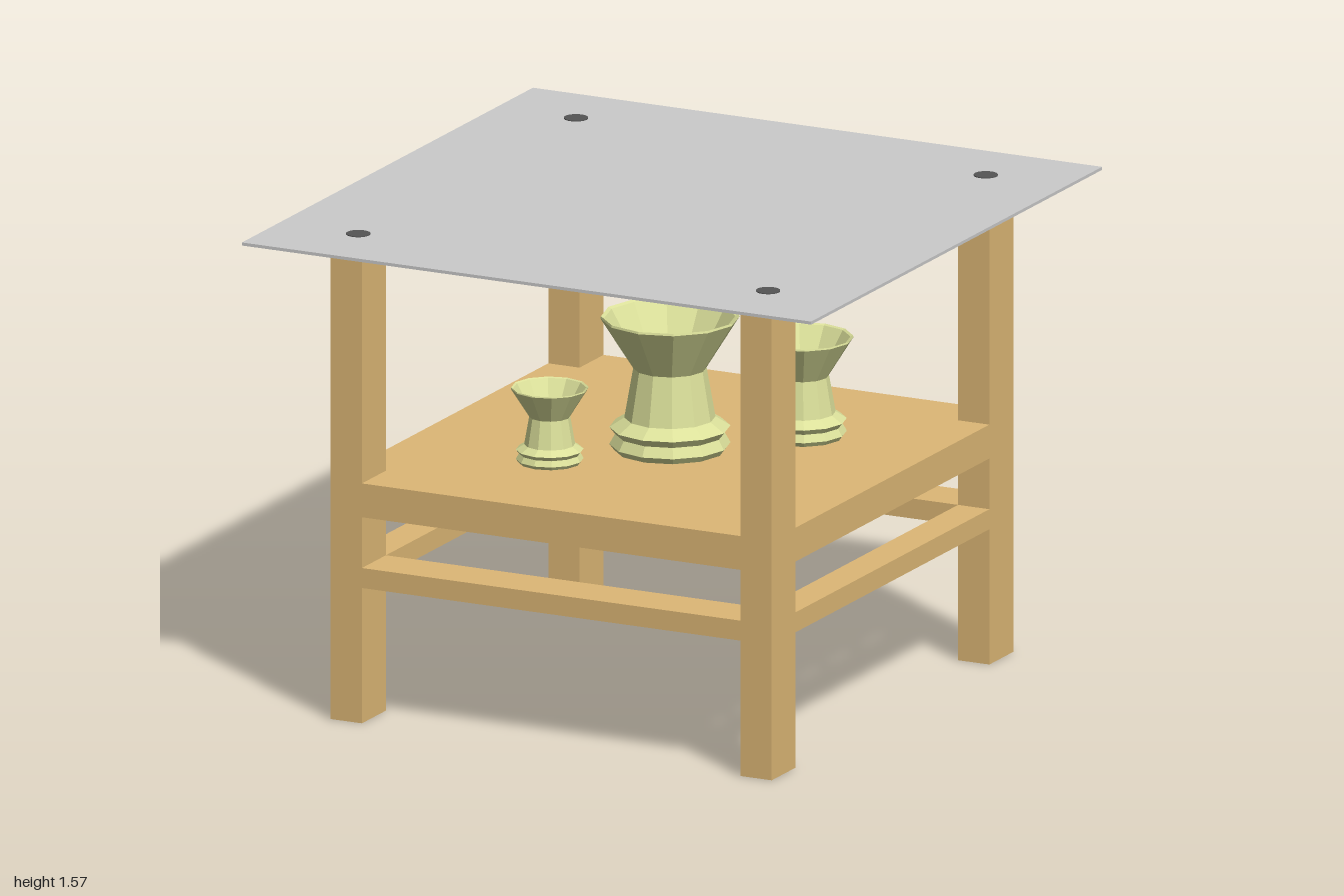
import * as THREE from 'three';

const wood = new THREE.MeshStandardMaterial({ color: 0xdeb876 });
const slab = new THREE.MeshStandardMaterial({ color: 0xcccccc });
const dark = new THREE.MeshStandardMaterial({ color: 0x555555 });
const clay = new THREE.MeshStandardMaterial({
  color: 0xdbe09a, flatShading: true, side: THREE.DoubleSide,
});

// Box given by its centre, its size and its vertical extent
function box(name, material, x, z, w, d, y0, y1) {
  const mesh = new THREE.Mesh(new THREE.BoxGeometry(w, y1 - y0, d), material);
  mesh.name = name;
  mesh.position.set(x, (y0 + y1) / 2, z);
  return mesh;
}

// Flared vase: [radius, height] from the foot to the rim, then down into the bowl
const vaseProfile = [
  [0, 0], [0.175, 0], [0.19, 0.02], [0.172, 0.052], [0.19, 0.075], [0.143, 0.105],
  [0.115, 0.265], [0.218, 0.428], [0.216, 0.435], [0.205, 0.43], [0.105, 0.265], [0, 0.25],
].map(([r, y]) => new THREE.Vector2(r, y));

function vase(name, x, z, scale) {
  const mesh = new THREE.Mesh(new THREE.LatheGeometry(vaseProfile, 12), clay);
  mesh.name = name;
  mesh.position.set(x, 0.78, z);
  mesh.scale.setScalar(scale);
  return mesh;
}

export function createModel() {
  const model = new THREE.Group();
  model.name = 'table';

  const legX = 0.72, legZ = 0.748, legW = 0.11, legD = 0.165;
  const spanX = 2 * legX - legW, spanZ = 2 * legZ - legD;

  // Legs, with a dark round stud over each on the top
  for (const sx of [-1, 1]) {
    for (const sz of [-1, 1]) {
      model.add(box('leg', wood, sx * legX, sz * legZ, legW, legD, 0, 1.553));
      const stud = new THREE.Mesh(new THREE.CylinderGeometry(0.038, 0.038, 0.012, 32), dark);
      stud.name = 'stud';
      stud.position.set(sx * legX, 1.56, sz * legZ);
      model.add(stud);
    }
  }

  // Lower stretchers, flush with the legs
  for (const s of [-1, 1]) {
    model.add(box('longStretcher', wood, 0, s * legZ, spanX, legD, 0.44, 0.505));
    model.add(box('sideStretcher', wood, s * legX, 0, legW, spanZ, 0.44, 0.505));
  }

  // Shelf board: full depth between the legs, plus a strip on each side
  model.add(box('shelf', wood, 0, 0, spanX, 2 * legZ + legD, 0.67, 0.78));
  for (const s of [-1, 1]) {
    model.add(box('shelfSide', wood, s * legX, 0, legW, spanZ, 0.67, 0.78));
  }

  // Thin square top
  model.add(box('tableTop', slab, 0, 0, 2, 2, 1.553, 1.563));

  // Three vases of one shape
  model.add(vase('largeVase', 0.013, 0.04, 1));
  model.add(vase('mediumVase', 0.31, -0.285, 0.745));
  model.add(vase('smallVase', -0.255, 0.342, 0.56));

  return model;
}
